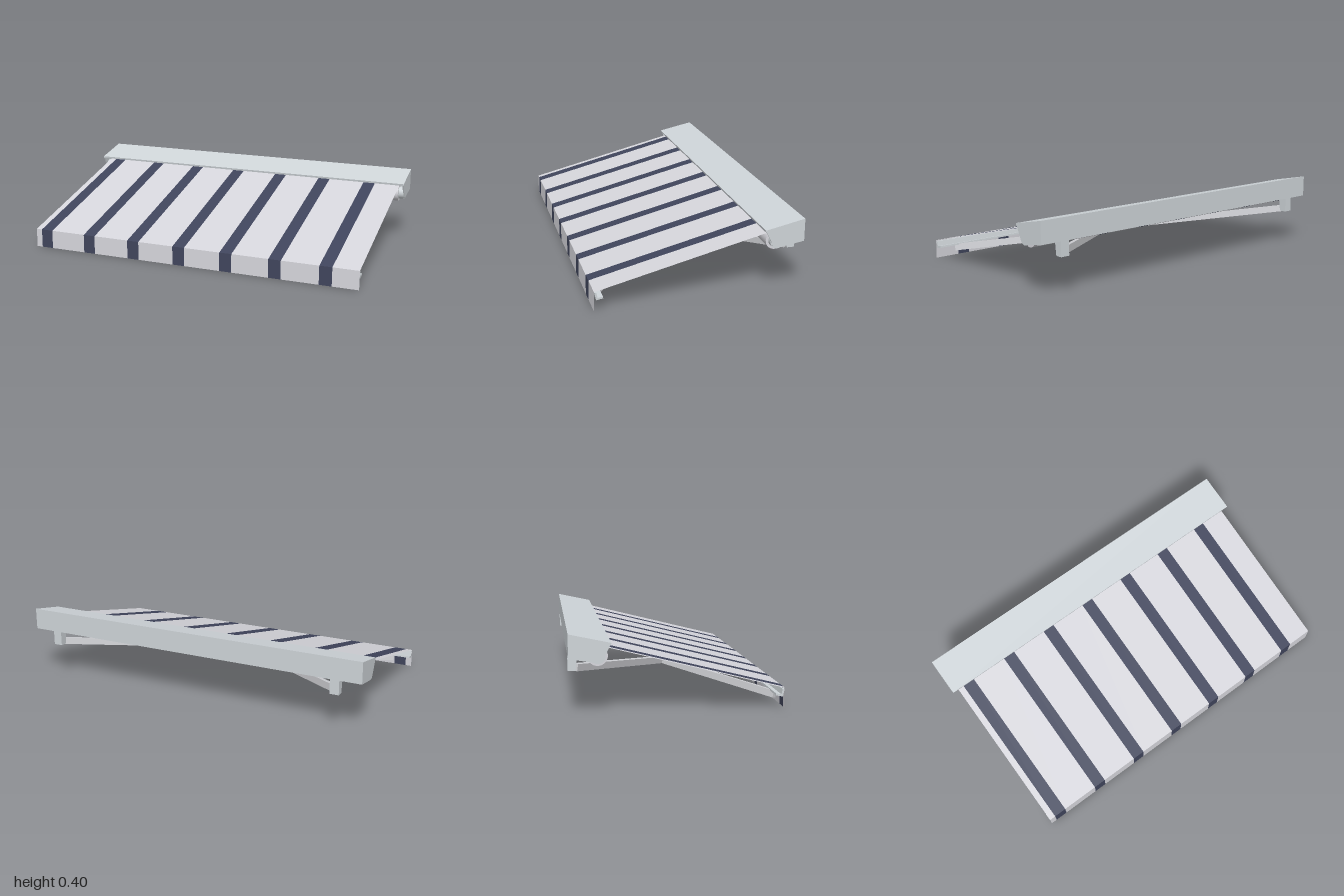
import * as THREE from 'three';

const mat = (name, color, side = THREE.FrontSide) => {
  const m = new THREE.MeshStandardMaterial({ color, side });
  m.name = name;
  return m;
};

export function createModel() {
  const metal = mat('pale metal', 0xcfd5d9);
  const arm = mat('arm metal', 0xcfd0d4);
  const cloth = mat('light cloth', 0xd6d6dc, THREE.DoubleSide);
  const stripe = mat('navy stripe', 0x40455c, THREE.DoubleSide);

  const model = new THREE.Group();
  model.name = 'awning';
  const add = (name, geometry, material, parent = model) => {
    const mesh = new THREE.Mesh(geometry, material);
    mesh.name = name;
    parent.add(mesh);
    return mesh;
  };

  // Solid with a [z, y] profile running from x0 to x1
  const extrudeX = (profile, x0, x1) => {
    const shape = new THREE.Shape(profile.map(([z, y]) => new THREE.Vector2(-z, y)));
    return new THREE.ExtrudeGeometry(shape, { depth: x1 - x0, bevelEnabled: false })
      .rotateY(Math.PI / 2).translate(x0, 0, 0);
  };

  // Thin sheet following [z, y] points, from x0 to x1, outer face up or forward
  const sheet = (points, x0, x1) => {
    const v = [];
    for (let i = 0; i + 1 < points.length; i++) {
      const [zb, yb] = points[i], [zf, yf] = points[i + 1];
      v.push(x0, yf, zf, x1, yf, zf, x1, yb, zb);
      v.push(x0, yf, zf, x1, yb, zb, x0, yb, zb);
    }
    const g = new THREE.BufferGeometry();
    g.setAttribute('position', new THREE.Float32BufferAttribute(v, 3));
    g.computeVertexNormals();
    return g;
  };

  // Cassette: sloping roof, back wall, underside and two end plates
  add('cassetteRoof', extrudeX([[-0.545, 0.4], [-0.545, 0.389], [-0.337, 0.344], [-0.335, 0.355]], -1, 1), metal);
  add('cassetteBack', extrudeX([[-0.545, 0.395], [-0.545, 0.28], [-0.535, 0.279], [-0.535, 0.393]], -0.999, 0.999), metal);
  add('cassetteUnderside', extrudeX([[-0.544, 0.28], [-0.455, 0.265], [-0.455, 0.274], [-0.544, 0.289]], -0.998, 0.998), metal);
  const endProfile = [[-0.545, 0.4], [-0.545, 0.28], [-0.405, 0.256], [-0.388, 0.258], [-0.378, 0.268], [-0.335, 0.355]];
  for (const s of [-1, 1]) {
    add('cassetteEnd', extrudeX(endProfile, s > 0 ? 0.992 : -1, s > 0 ? 1 : -0.992), metal);
  }

  // Roller axle
  const rollerY = 0.287, rollerZ = -0.4;
  add('rollerAxle', new THREE.CylinderGeometry(0.036, 0.036, 1.99, 32).rotateZ(Math.PI / 2)
    .translate(0, rollerY, rollerZ), metal);

  // Striped cloth: wound on the roller, stretched as canopy, hanging as valance
  const half = 0.965;
  const edges = [-half];
  for (let i = 0; i < 7; i++) edges.push(-0.93 + i * 0.28, -0.86 + i * 0.28);
  edges.push(half);
  for (let i = 0; i + 1 < edges.length; i++) {
    const x0 = edges[i], x1 = edges[i + 1];
    const m = i % 2 ? stripe : cloth;
    add('canopyBand', sheet([[-0.39, 0.337], [0.54, 0.105]], x0, x1), m);
    add('valanceBand', sheet([[0.54, 0.105], [0.542, 0]], x0, x1), m);
    add('rollerBand', new THREE.CylinderGeometry(0.05, 0.05, x1 - x0, 40).rotateZ(Math.PI / 2)
      .translate((x0 + x1) / 2, rollerY, rollerZ), m);
  }

  // Front rail with an angled section
  add('frontRail', extrudeX([[0.538, 0.1], [0.528, 0.1], [0.522, 0.072], [0.495, 0.077],
    [0.494, 0.067], [0.53, 0.06]], -half, half), metal);

  // Folding arms lie in one plane sloping down to the front
  const arms = new THREE.Group();
  arms.name = 'foldingArms';
  arms.position.y = 0.133;
  arms.rotation.x = Math.atan(0.16);
  model.add(arms);
  const bar = (name, [xa, za], [xb, zb], width) => {
    const length = Math.hypot(xb - xa, zb - za);
    const mesh = add(name, new THREE.BoxGeometry(width, 0.037, length), arm, arms);
    mesh.position.set((xa + xb) / 2, 0, (za + zb) / 2);
    mesh.rotation.y = Math.atan2(xb - xa, zb - za);
  };
  for (const s of [-1, 1]) {
    const shoulder = [s * 0.855, -0.51], elbow = [s * 0.2, 0.018], wrist = [s * 0.855, 0.522];
    bar('upperArm', shoulder, elbow, 0.026);
    bar('forearm', elbow, wrist, 0.024);
    add('elbowJoint', new THREE.CylinderGeometry(0.017, 0.017, 0.038, 20), arm, arms)
      .position.set(elbow[0], 0, elbow[1]);

    // Wall bracket holding the shoulder
    add('wallBracket', extrudeX([[-0.545, 0.285], [-0.545, 0.2], [-0.505, 0.2], [-0.495, 0.277]],
      s * 0.855 - 0.025, s * 0.855 + 0.025), metal);
  }
  return model;
}
